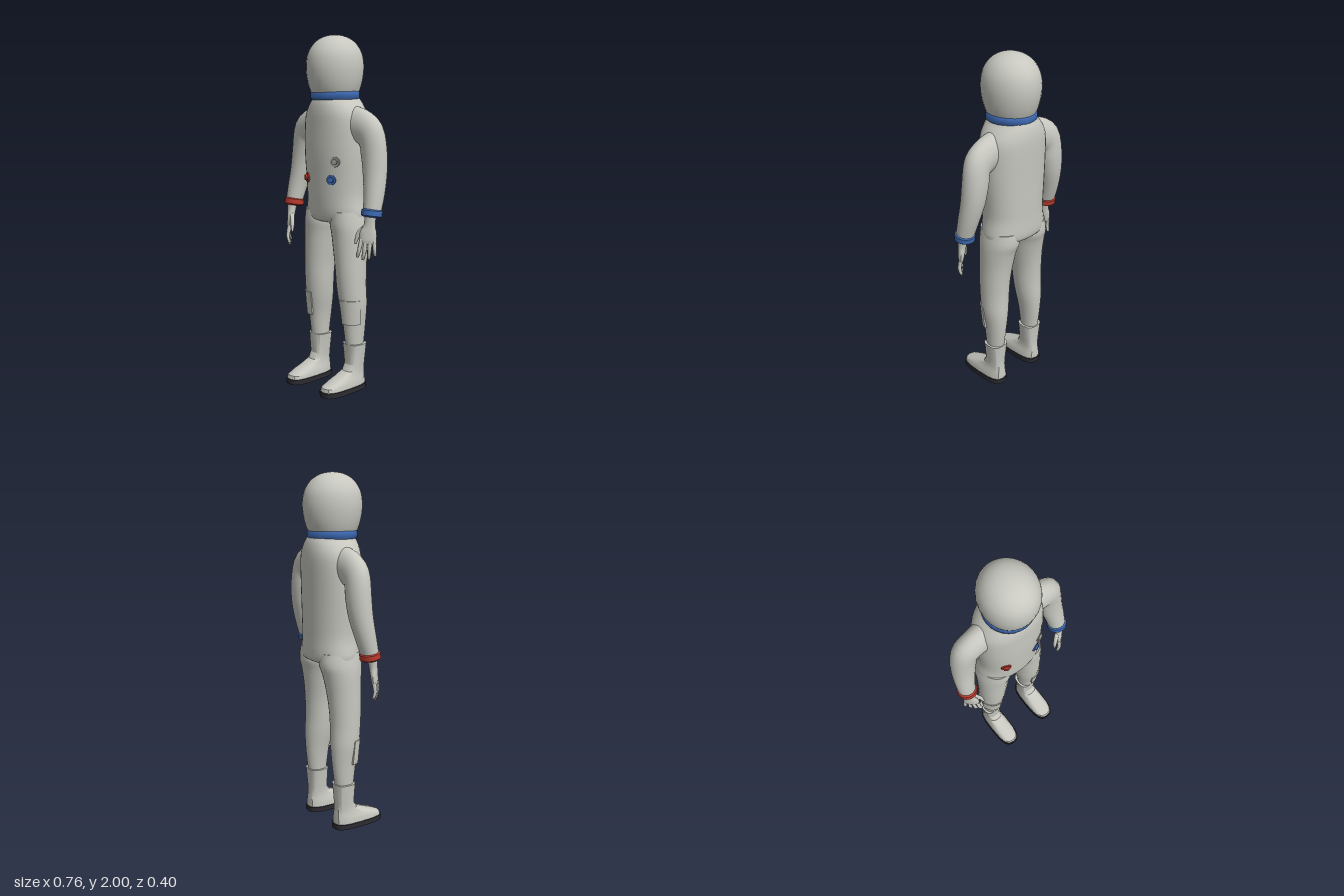
import * as THREE from 'three';
import { toCreasedNormals } from 'three/addons/utils/BufferGeometryUtils.js';

const mat = (name, color) => {
  const m = new THREE.MeshStandardMaterial({ color });
  m.name = name;
  return m;
};

// Make every triangle face outward by checking the signed volume
function orient(geo) {
  const p = geo.attributes.position, ix = geo.index.array;
  const a = new THREE.Vector3(), b = new THREE.Vector3(), c = new THREE.Vector3();
  const o = new THREE.Vector3().fromBufferAttribute(p, 0);
  let vol = 0;
  for (let i = 0; i < ix.length; i += 3) {
    a.fromBufferAttribute(p, ix[i]).sub(o);
    b.fromBufferAttribute(p, ix[i + 1]).sub(o);
    c.fromBufferAttribute(p, ix[i + 2]).sub(o);
    vol += a.dot(b.cross(c));
  }
  if (vol < 0) for (let i = 0; i < ix.length; i += 3) [ix[i], ix[i + 1]] = [ix[i + 1], ix[i]];
  return geo;
}

// Smooth in-between rows through the given rows
function smoothRows(rows, steps) {
  const out = [];
  const at = i => rows[Math.max(0, Math.min(rows.length - 1, i))];
  for (let i = 0; i < rows.length - 1; i++) {
    for (let s = 0; s < steps; s++) {
      const t = s / steps;
      out.push(rows[i].map((v, k) => {
        const p0 = at(i - 1)[k], p2 = at(i + 1)[k], p3 = at(i + 2)[k];
        return v + 0.5 * t * (p2 - p0 + t * (2 * p0 - 5 * v + 4 * p2 - p3 + t * (3 * (v - p2) + p3 - p0)));
      }));
    }
  }
  out.push(rows[rows.length - 1]);
  return out;
}

// Closed skin over rings; row = [x, y, z, half width, half depth, tilt in degrees]
function loft(rows, { sides = 28, power = 2, steps = 3, arc = null } = {}) {
  const rings = steps > 1 ? smoothRows(rows, steps) : rows;
  const pts = [], idx = [];
  const bend = v => Math.sign(v) * Math.abs(v) ** (2 / power);
  const n = arc ? sides + 2 : sides;
  for (const [x, y, z, a, b, tilt = 0] of rings) {
    const r = THREE.MathUtils.degToRad(tilt);
    for (let i = 0; i < n; i++) {
      const t = arc ? arc[0] + (arc[1] - arc[0]) * i / sides : i / sides * Math.PI * 2;
      const k = arc && i === n - 1 ? 0 : 1;
      const u = bend(Math.cos(t)) * a * k, w = bend(Math.sin(t)) * b * k;
      pts.push(x + u * Math.cos(r), y + u * Math.sin(r), z + w);
    }
  }
  const m = rings.length;
  for (let j = 0; j < m - 1; j++) {
    for (let i = 0; i < n; i++) {
      const a = j * n + i, b = j * n + (i + 1) % n;
      idx.push(a, a + n, b, b, a + n, b + n);
    }
  }
  // End caps around each ring's mean point
  for (const j of [0, m - 1]) {
    const c = [0, 0, 0];
    for (let i = 0; i < n; i++) for (let k = 0; k < 3; k++) c[k] += pts[(j * n + i) * 3 + k] / n;
    const centre = pts.length / 3;
    pts.push(...c);
    for (let i = 0; i < n; i++) {
      const a = j * n + i, b = j * n + (i + 1) % n;
      idx.push(...(j === 0 ? [centre, a, b] : [centre, b, a]));
    }
  }
  const g = new THREE.BufferGeometry();
  g.setAttribute('position', new THREE.Float32BufferAttribute(pts, 3));
  g.setIndex(idx);
  return orient(g);
}

export function createModel() {
  const model = new THREE.Group();
  model.name = 'spacesuitFigure';
  const suit = mat('suitGrey', 0xc8c8c1);
  const blue = mat('blue', 0x3d6ab3);
  const red = mat('red', 0xb83a2d);
  const rubber = mat('soleDark', 0x2c2c31);
  const metal = mat('connectorGrey', 0x9b9b97);

  const add = (name, geo, material, crease = 0.9) => {
    const mesh = new THREE.Mesh(toCreasedNormals(geo, crease), material);
    mesh.name = name;
    model.add(mesh);
    return mesh;
  };
  const pair = (name, geo, material, crease, rightMaterial = material) => {
    const mirrored = orient(geo.clone().scale(-1, 1, 1));
    add('left' + name, geo, material, crease);
    add('right' + name, mirrored, rightMaterial, crease);
  };

  // Helmet and neck ring
  add('helmet', loft([
    [0, 1.67, -0.03, 0.125, 0.13], [0, 1.72, -0.03, 0.142, 0.15], [0, 1.78, -0.03, 0.153, 0.164],
    [0, 1.84, -0.03, 0.155, 0.167], [0, 1.9, -0.03, 0.144, 0.156], [0, 1.95, -0.03, 0.115, 0.125],
    [0, 1.98, -0.03, 0.078, 0.086], [0, 1.995, -0.03, 0.04, 0.044], [0, 2, -0.03, 0.003, 0.003],
  ]), suit);
  add('neckRing', loft([
    [0, 1.645, -0.032, 0.128, 0.128], [0, 1.653, -0.032, 0.137, 0.138],
    [0, 1.687, -0.032, 0.137, 0.138], [0, 1.697, -0.032, 0.128, 0.128],
  ], { steps: 1 }), blue);

  // Torso
  add('torso', loft([
    [0, 0.955, -0.05, 0.08, 0.07], [0, 0.97, -0.05, 0.17, 0.115], [0, 1.0, -0.05, 0.203, 0.135],
    [0, 1.1, -0.045, 0.187, 0.14], [0, 1.2, -0.043, 0.19, 0.143], [0, 1.35, -0.04, 0.2, 0.147],
    [0, 1.5, -0.042, 0.2, 0.148], [0, 1.57, -0.042, 0.187, 0.147], [0, 1.62, -0.041, 0.155, 0.14],
    [0, 1.65, -0.04, 0.13, 0.13], [0, 1.68, -0.035, 0.12, 0.12],
  ], { sides: 36, power: 2.15 }), suit);

  // Arms, bending down from the shoulders
  pair('Arm', loft([
    [0.09, 1.52, -0.045, 0.1, 0.08, 90], [0.19, 1.5, -0.045, 0.1, 0.07, 78],
    [0.262, 1.46, -0.048, 0.086, 0.068, 45], [0.285, 1.36, -0.052, 0.076, 0.068, 14],
    [0.3, 1.25, -0.045, 0.068, 0.065, 8], [0.315, 1.14, -0.024, 0.058, 0.058, 5],
    [0.322, 1.05, -0.002, 0.05, 0.05, 2],
  ]), suit);
  pair('Cuff', loft([
    [0, -0.022, 0, 0.048, 0.048], [0, -0.014, 0, 0.058, 0.058],
    [0, 0.014, 0, 0.058, 0.058], [0, 0.022, 0, 0.048, 0.048],
  ], { sides: 16, steps: 1 }).rotateX(-0.15).translate(0.322, 1.043, 0), blue, 0.6, red);

  // Hands, turned so the thumbs point inward and forward
  const handPart = (name, rows, opts) =>
    pair(name, loft(rows, opts).rotateY(-Math.PI * 0.75).rotateX(-0.14).translate(0.325, 1.04, 0.012), suit);
  handPart('Palm', [
    [0, 0, 0, 0.032, 0.03], [0, -0.06, 0, 0.031, 0.024], [0.002, -0.1, 0, 0.045, 0.021],
    [0, -0.145, 0, 0.046, 0.017], [0, -0.165, 0, 0.038, 0.011],
  ], { sides: 14 });
  [0.078, 0.098, 0.104, 0.092].forEach((len, i) => {
    const x = -0.035 + i * 0.0233, splay = (i - 1.5) * 0.008;
    handPart('Finger' + (i + 1), [
      [x, -0.14, 0, 0.012, 0.012], [x + splay * 0.5, -0.15 - len * 0.5, -0.004, 0.011, 0.011],
      [x + splay, -0.15 - len * 0.92, 0.008, 0.009, 0.009], [x + splay, -0.15 - len, 0.011, 0.005, 0.005],
    ], { sides: 8, steps: 2 });
  });
  handPart('Thumb', [
    [0.02, -0.065, 0.005, 0.014, 0.014], [0.05, -0.105, 0.014, 0.014, 0.013],
    [0.062, -0.15, 0.02, 0.01, 0.01], [0.064, -0.172, 0.022, 0.005, 0.005],
  ], { sides: 8, steps: 2 });

  // Legs and knee patches
  pair('Leg', loft([
    [0.105, 1.03, -0.047, 0.092, 0.12], [0.106, 0.96, -0.048, 0.104, 0.124],
    [0.114, 0.9, -0.042, 0.1, 0.112], [0.122, 0.8, -0.035, 0.092, 0.1],
    [0.13, 0.7, -0.032, 0.085, 0.093], [0.134, 0.6, -0.033, 0.081, 0.088],
    [0.14, 0.5, -0.04, 0.075, 0.084], [0.143, 0.4, -0.047, 0.06, 0.073],
    [0.145, 0.3, -0.048, 0.05, 0.062], [0.145, 0.2, -0.048, 0.043, 0.048],
  ]), suit);
  pair('KneePatch', loft([
    [0.137, 0.53, -0.038, 0.083, 0.092], [0.141, 0.46, -0.043, 0.077, 0.088], [0.143, 0.39, -0.046, 0.07, 0.084],
  ], { sides: 10, arc: [0.2, 1.8] }), suit, 0.6);

  // Boots and soles
  pair('Boot', loft([
    [0.145, 0.025, 0.042, 0.06, 0.154], [0.145, 0.05, 0.039, 0.059, 0.15],
    [0.145, 0.07, 0.018, 0.055, 0.127], [0.145, 0.09, -0.009, 0.049, 0.098],
    [0.145, 0.115, -0.038, 0.046, 0.065], [0.145, 0.15, -0.048, 0.048, 0.054],
    [0.145, 0.268, -0.05, 0.06, 0.06],
  ], { sides: 16, power: 3, steps: 1 }), suit, 0.5);
  pair('Sole', loft([
    [0.145, 0, 0.041, 0.064, 0.157], [0.145, 0.03, 0.041, 0.065, 0.159],
  ], { sides: 28, power: 3, steps: 1 }), rubber, 0.6);

  // Hose connectors on the chest
  for (const [name, x, y, z, material] of [
    ['redConnector', -0.105, 1.21, 0.076, red],
    ['blueConnector', 0.09, 1.21, 0.08, blue],
    ['greyConnector', 0.115, 1.31, 0.076, metal],
  ]) {
    const g = new THREE.Group();
    g.name = name;
    [[0.031, 0.02, 0], [0.018, 0.034, 0.004]].forEach(([r, h, off], i) => {
      const m = new THREE.Mesh(new THREE.CylinderGeometry(r * 0.9, r, h, 14).rotateX(Math.PI / 2), material);
      m.name = i ? 'knob' : 'flange';
      m.position.z = off;
      g.add(m);
    });
    g.position.set(x, y, z);
    g.rotation.y = Math.sign(x) * 0.44;
    model.add(g);
  }
  return model;
}
